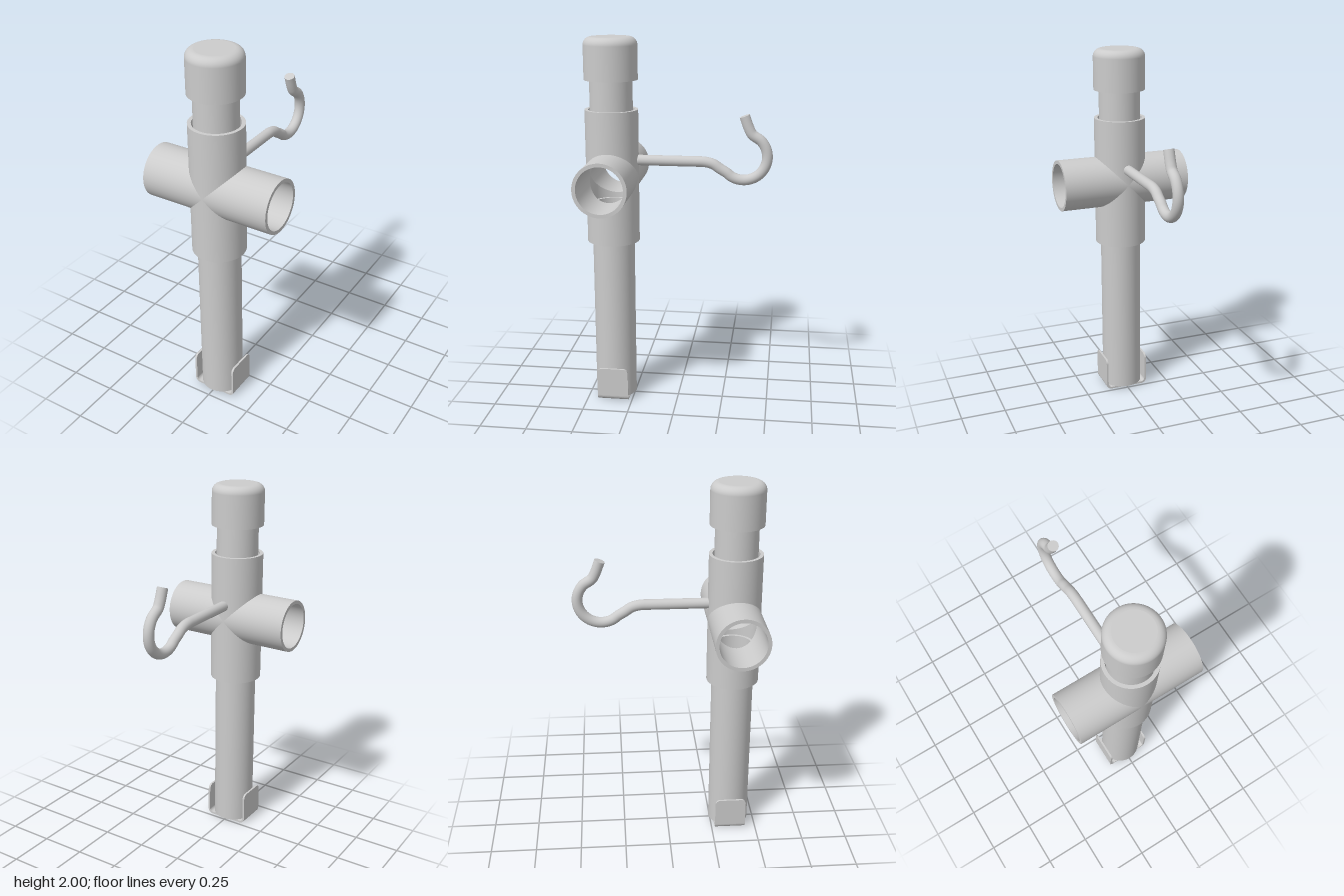
import * as THREE from 'three';
import { mergeGeometries } from 'three/addons/utils/BufferGeometryUtils.js';

const AXIS_Z = 0.355, CROSS_Y = 1.268, SEG = 64;
const R_OUT = 0.141, R_IN = 0.122, ARM = 0.357;

export function createModel() {
  const root = new THREE.Group();
  const mat = new THREE.MeshStandardMaterial({ color: 0xcccccc, side: THREE.DoubleSide });

  const add = (name, geometry, parent = root) => {
    const mesh = new THREE.Mesh(geometry, mat);
    mesh.name = name;
    parent.add(mesh);
    return mesh;
  };
  // One smooth band of a turned part; separate bands keep sharp edges
  const band = (...pts) => new THREE.LatheGeometry(pts.map(p => new THREE.Vector2(p[0], p[1])), SEG);
  // Hollow pipe with flat rims
  const pipe = (ro, ri, y0, y1) => mergeGeometries([
    band([ro, y0], [ro, y1]), band([ro, y1], [ri, y1]),
    band([ri, y1], [ri, y0]), band([ri, y0], [ro, y0]),
  ]);

  // Everything that shares the vertical pipe axis
  const body = new THREE.Group();
  body.name = 'pipeBody';
  body.position.z = AXIS_Z;
  root.add(body);

  // Hollow cross fitting: four arms mitred against each other
  const mitre = geo => {
    const p = geo.attributes.position;
    for (let i = 0; i < p.count; i++) {
      if (p.getY(i) < 0.001) p.setY(i, Math.abs(p.getX(i)));
    }
    return geo;
  };
  const armGeo = mergeGeometries([
    mitre(band([R_OUT, 0], [R_OUT, ARM])),
    band([R_OUT, ARM], [R_IN, ARM]),
    mitre(band([R_IN, ARM], [R_IN, 0])),
  ]);
  const cross = new THREE.Group();
  cross.name = 'crossFitting';
  cross.position.y = CROSS_Y;
  body.add(cross);
  ['topArm', 'leftArm', 'bottomArm', 'rightArm'].forEach((name, i) => {
    add(name, armGeo, cross).rotation.z = -i * Math.PI / 2;
  });

  // Posts pushed into the fitting
  add('lowerPost', pipe(0.113, 0.097, 0.013, 1.12), body);
  add('upperPost', pipe(0.113, 0.097, 1.415, 1.96), body);

  // Rounded end cap
  const rounded = [[R_OUT, 1.78]];
  for (let i = 0; i <= 8; i++) {
    const a = i / 8 * Math.PI / 2;
    rounded.push([R_OUT - 0.042 + 0.042 * Math.cos(a), 1.958 + 0.042 * Math.sin(a)]);
  }
  add('endCap', mergeGeometries([
    band(...rounded), band([R_OUT - 0.042, 2], [0, 2]),
    band([0.122, 1.78], [R_OUT, 1.78]), band([0.122, 1.97], [0.122, 1.78]),
  ]), body);

  // Foot clip: bent strip with two round-cornered side plates
  const W = 0.125, T = 0.011, BEND = 0.03, D = 0.172, TOP = 0.19, C = 0.026;
  const strip = new THREE.Shape();
  strip.moveTo(-W, BEND);
  strip.absarc(-W + BEND, BEND, BEND, Math.PI, 1.5 * Math.PI);
  strip.absarc(W - BEND, BEND, BEND, -Math.PI / 2, 0);
  strip.absarc(W - BEND, BEND, BEND - T, 0, -Math.PI / 2, true);
  strip.absarc(-W + BEND, BEND, BEND - T, 1.5 * Math.PI, Math.PI, true);
  strip.closePath();
  const clip = new THREE.Group();
  clip.name = 'footClip';
  body.add(clip);
  add('clipBase', new THREE.ExtrudeGeometry(strip, { depth: D, bevelEnabled: false, curveSegments: 8 }), clip)
    .position.z = -D / 2;

  const plate = new THREE.Shape();
  plate.moveTo(-D / 2, BEND);
  plate.lineTo(D / 2, BEND);
  plate.absarc(D / 2 - C, TOP - C, C, 0, Math.PI / 2);
  plate.absarc(-D / 2 + C, TOP - C, C, Math.PI / 2, Math.PI);
  plate.closePath();
  const plateGeo = new THREE.ExtrudeGeometry(plate, { depth: T, bevelEnabled: false, curveSegments: 8 });
  plateGeo.rotateY(Math.PI / 2);
  add('leftClipPlate', plateGeo, clip).position.x = W - T;
  add('rightClipPlate', plateGeo, clip).position.x = -W;

  // Hook rod: straight shank, dip, round hook and upturned tip
  const path = [[0.465, 1.356], [0.2, 1.356], [0, 1.356], [-0.09, 1.356], [-0.14, 1.355],
    [-0.185, 1.344], [-0.222, 1.32]];
  for (let deg = -45; deg <= 138; deg += 15) {
    const a = deg * Math.PI / 180;
    path.push([-0.344 - 0.124 * Math.sin(a), 1.387 - 0.124 * Math.cos(a)]);
  }
  path.push([-0.388, 1.505], [-0.37, 1.536], [-0.345, 1.602]);
  const curve = new THREE.CatmullRomCurve3(path.map(([z, y]) => new THREE.Vector3(0, y, z)));
  const hook = new THREE.Group();
  hook.name = 'hook';
  root.add(hook);
  add('hookRod', new THREE.TubeGeometry(curve, 140, 0.028, 24), hook);
  [0, 1].forEach(t => {
    const end = add(t ? 'hookTip' : 'hookRoot', new THREE.CircleGeometry(0.028, 24), hook);
    end.position.copy(curve.getPointAt(t));
    const dir = curve.getTangentAt(t).multiplyScalar(t ? 1 : -1);
    end.quaternion.setFromUnitVectors(new THREE.Vector3(0, 0, 1), dir);
  });

  return root;
}
